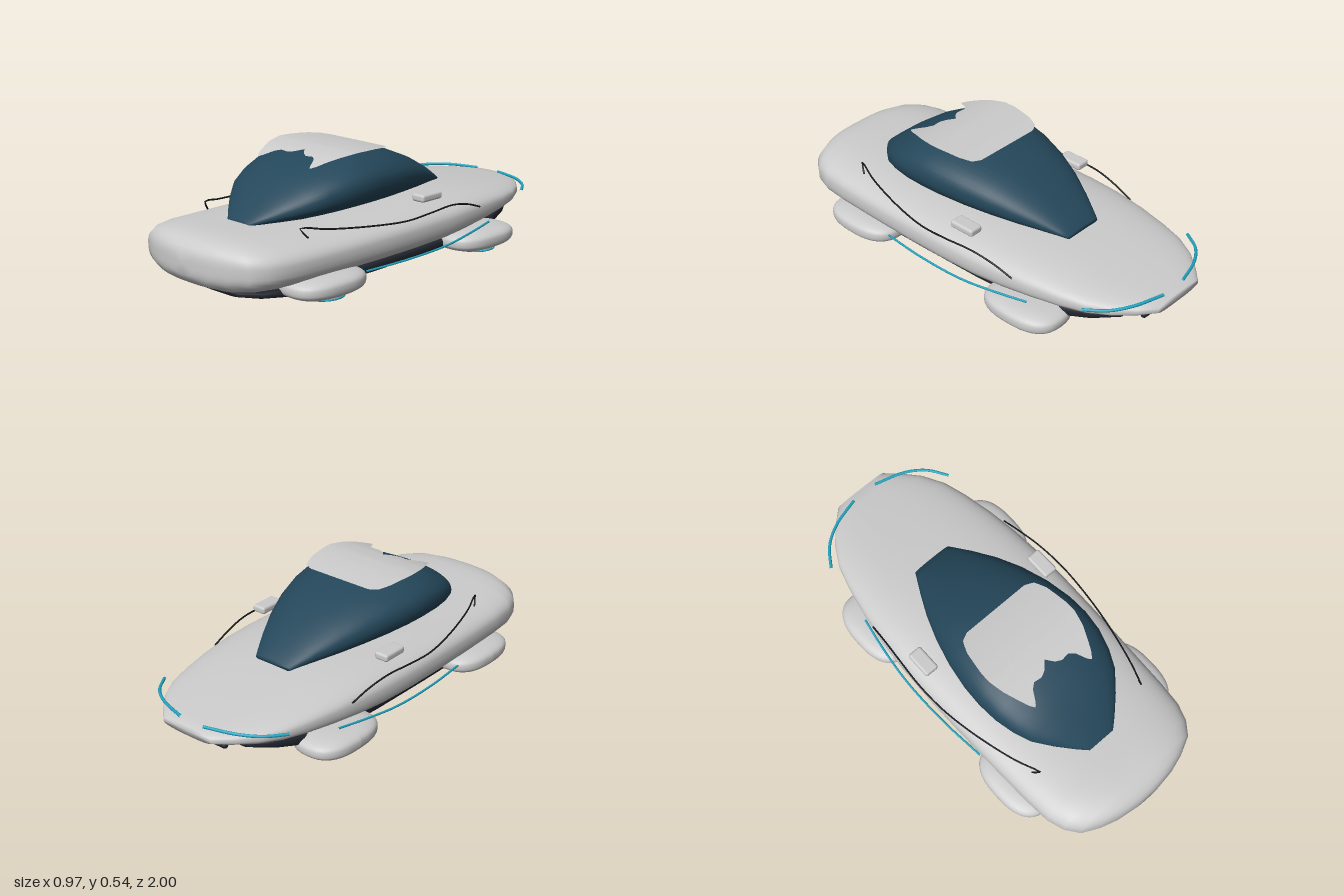
import * as THREE from 'three';
import { RoundedBoxGeometry } from 'three/addons/geometries/RoundedBoxGeometry.js';

const mat = (color, side = THREE.FrontSide) => new THREE.MeshStandardMaterial({ color, side });
const GREY = mat(0xcccccc), GLASS = mat(0x24475a), DARK = mat(0x20242c), TEAL = mat(0x1fa5c2), BLACK = mat(0x14181c);
const SHEET = mat(0xcccccc, THREE.DoubleSide);

// Rounded power used for all soft-boxed cross-sections
const pow = (v, n) => Math.sign(v) * Math.abs(v) ** (2 / n);

// Closed hull through soft-boxed sections [z, halfWidth, yBottom, yTop], listed front to back
function hull(sections, n, segs = 48) {
  const pos = [], idx = [], last = sections.length - 1;
  for (const [z, w, y0, y1] of sections) {
    for (let j = 0; j < segs; j++) {
      const a = (j / segs) * Math.PI * 2;
      pos.push(w * pow(Math.cos(a), n), (y0 + y1) / 2 + ((y1 - y0) / 2) * pow(Math.sin(a), n), z);
    }
  }
  for (let i = 0; i < last; i++) {
    for (let j = 0; j < segs; j++) {
      const k = (j + 1) % segs;
      const a = i * segs + j, b = i * segs + k, c = a + segs, d = b + segs;
      idx.push(a, c, b, b, c, d);
    }
  }
  // end caps
  const front = pos.length / 3, back = front + 1;
  for (const [z, , y0, y1] of [sections[0], sections[last]]) pos.push(0, (y0 + y1) / 2, z);
  for (let j = 0; j < segs; j++) {
    const k = (j + 1) % segs;
    idx.push(front, j, k, back, last * segs + k, last * segs + j);
  }
  const g = new THREE.BufferGeometry();
  g.setAttribute('position', new THREE.Float32BufferAttribute(pos, 3));
  g.setIndex(idx);
  g.computeVertexNormals();
  return g;
}

// Linear lookup in a list of [key, value]
function lookup(table, v) {
  for (let i = 1; i < table.length; i++) {
    const [k0, v0] = table[i - 1], [k1, v1] = table[i];
    if (v <= k1) return v0 + (v1 - v0) * Math.max(0, (v - k0) / (k1 - k0));
  }
  return table[table.length - 1][1];
}

function tube(points, radius) {
  const curve = new THREE.CatmullRomCurve3(points.map((p) => new THREE.Vector3(...p)), false, 'centripetal');
  return new THREE.TubeGeometry(curve, 40, radius, 8);
}

// Roof sheet: bends along z only, with a notched front edge
function roofSheet() {
  const backEdge = [[0, -0.02], [0.17, -0.02], [0.21, 0], [0.235, 0.06], [0.25, 0.17]];
  const frontEdge = [[0, 0.3], [0.03, 0.335], [0.06, 0.35], [0.1, 0.345], [0.125, 0.365], [0.15, 0.41],
    [0.165, 0.43], [0.185, 0.405], [0.21, 0.35], [0.235, 0.29], [0.25, 0.22]];
  const height = [[-0.02, 0.527], [0.06, 0.538], [0.14, 0.544], [0.22, 0.545], [0.3, 0.535], [0.36, 0.52], [0.43, 0.496]];
  const g = new THREE.PlaneGeometry(2, 1, 60, 16);
  const p = g.attributes.position;
  for (let i = 0; i < p.count; i++) {
    const x = p.getX(i) * 0.25, t = 0.5 - p.getY(i);
    const z0 = lookup(backEdge, Math.abs(x)), z1 = lookup(frontEdge, Math.abs(x));
    const z = z0 + (z1 - z0) * t;
    p.setXYZ(i, x, lookup(height, z), z);
  }
  g.computeVertexNormals();
  return g;
}

// Soft flattened pod, a sphere squared off by the rounding power
function podGeometry() {
  const pos = new THREE.SphereGeometry(1, 40, 24);
  const p = pos.attributes.position;
  for (let i = 0; i < p.count; i++) {
    const y = p.getY(i), r = Math.hypot(p.getX(i), p.getZ(i));
    const ring = pow(r, 2.9) / (r || 1);
    const cx = r ? p.getX(i) / r : 0, cz = r ? p.getZ(i) / r : 0;
    p.setXYZ(i, 0.14 * ring * r * pow(cx, 2.6), 0.05 * pow(y, 2.9), 0.2 * ring * r * pow(cz, 2.6));
  }
  pos.computeVertexNormals();
  return pos;
}

export function createModel() {
  const model = new THREE.Group();
  const add = (name, geometry, material, x = 0, y = 0, z = 0) => {
    const m = new THREE.Mesh(geometry, material);
    m.name = name;
    m.position.set(x, y, z);
    model.add(m);
    return m;
  };

  // Main body
  add('body', hull([
    [1, 0.07, 0.12, 0.215], [0.985, 0.17, 0.095, 0.24], [0.96, 0.25, 0.075, 0.26], [0.92, 0.33, 0.06, 0.274],
    [0.86, 0.375, 0.052, 0.281], [0.78, 0.402, 0.05, 0.282], [0.65, 0.413, 0.05, 0.28], [0.45, 0.42, 0.05, 0.28],
    [0.2, 0.428, 0.052, 0.285], [0, 0.43, 0.055, 0.288], [-0.2, 0.426, 0.062, 0.289], [-0.35, 0.414, 0.075, 0.286],
    [-0.5, 0.393, 0.092, 0.276], [-0.65, 0.362, 0.11, 0.26], [-0.76, 0.33, 0.126, 0.247], [-0.86, 0.275, 0.142, 0.234],
    [-0.94, 0.205, 0.155, 0.223], [-1, 0.14, 0.17, 0.213],
  ], 2.8, 64), GREY);

  // Glass canopy
  add('canopy', hull([
    [0.69, 0.07, 0.27, 0.29], [0.65, 0.115, 0.27, 0.325], [0.58, 0.185, 0.27, 0.383], [0.5, 0.252, 0.27, 0.44],
    [0.42, 0.288, 0.27, 0.482], [0.33, 0.312, 0.27, 0.516], [0.23, 0.321, 0.27, 0.536], [0.13, 0.317, 0.27, 0.536],
    [0, 0.296, 0.27, 0.518], [-0.13, 0.26, 0.27, 0.484], [-0.25, 0.214, 0.27, 0.435], [-0.36, 0.16, 0.27, 0.376],
    [-0.43, 0.122, 0.27, 0.331], [-0.47, 0.1, 0.27, 0.302],
  ], 2.3), GLASS);
  add('roofPanel', roofSheet(), SHEET);

  // Underside and rear bar
  add('floor', hull([
    [0.87, 0.2, 0.03, 0.055], [0.8, 0.275, 0.02, 0.06], [0.7, 0.32, 0.012, 0.065], [0.5, 0.33, 0.007, 0.07],
    [0.2, 0.33, 0.006, 0.075], [-0.15, 0.33, 0.012, 0.08], [-0.45, 0.325, 0.024, 0.1], [-0.62, 0.31, 0.047, 0.12],
    [-0.75, 0.275, 0.084, 0.14], [-0.86, 0.21, 0.12, 0.15],
  ], 4), DARK);
  add('rearBar', new THREE.CapsuleGeometry(0.015, 0.32, 6, 12), DARK, 0, 0.16, -0.945).rotation.z = Math.PI / 2;

  // Hover pods, each with an underside disc and a glowing ring
  const pod = podGeometry();
  const disc = new THREE.CylinderGeometry(0.09, 0.09, 0.008, 40);
  const ring = new THREE.TorusGeometry(0.095, 0.004, 8, 48).rotateX(Math.PI / 2);

  for (const [side, s] of [['left', 1], ['right', -1]]) {
    for (const [end, z] of [['Front', 0.53], ['Rear', -0.455]]) {
      add(side + end + 'Pod', pod, GREY, s * 0.345, 0.06, z);
      add(side + end + 'PodDisc', disc, GREY, s * 0.345, 0.01, z);
      add(side + end + 'PodRing', ring, TEAL, s * 0.345, 0.005, z);
    }

    // Mirrors
    add(side + 'Mirror', new RoundedBoxGeometry(0.07, 0.035, 0.13, 3, 0.012), GREY, s * 0.36, 0.314, -0.107);

    // Light strips along the sill and tail
    add(side + 'SillLight', tube([
      [s * 0.415, 0.075, 0.34], [s * 0.437, 0.08, 0.1], [s * 0.44, 0.09, -0.15], [s * 0.42, 0.108, -0.35], [s * 0.395, 0.122, -0.5],
    ], 0.005), TEAL);
    add(side + 'TailLight', tube([
      [s * 0.365, 0.212, -0.775], [s * 0.3, 0.218, -0.865], [s * 0.21, 0.222, -0.925], [s * 0.065, 0.222, -0.97],
    ], 0.007), TEAL);

    // Thin shoulder line with a hooked front end
    add(side + 'ShoulderLine', tube([
      [s * 0.325, 0.257, 0.59], [s * 0.306, 0.299, 0.62], [s * 0.35, 0.282, 0.5], [s * 0.405, 0.262, 0.28],
      [s * 0.432, 0.253, 0.1], [s * 0.438, 0.262, -0.05], [s * 0.428, 0.266, -0.2], [s * 0.415, 0.245, -0.32], [s * 0.405, 0.212, -0.42],
    ], 0.004), BLACK);
  }
  return model;
}
